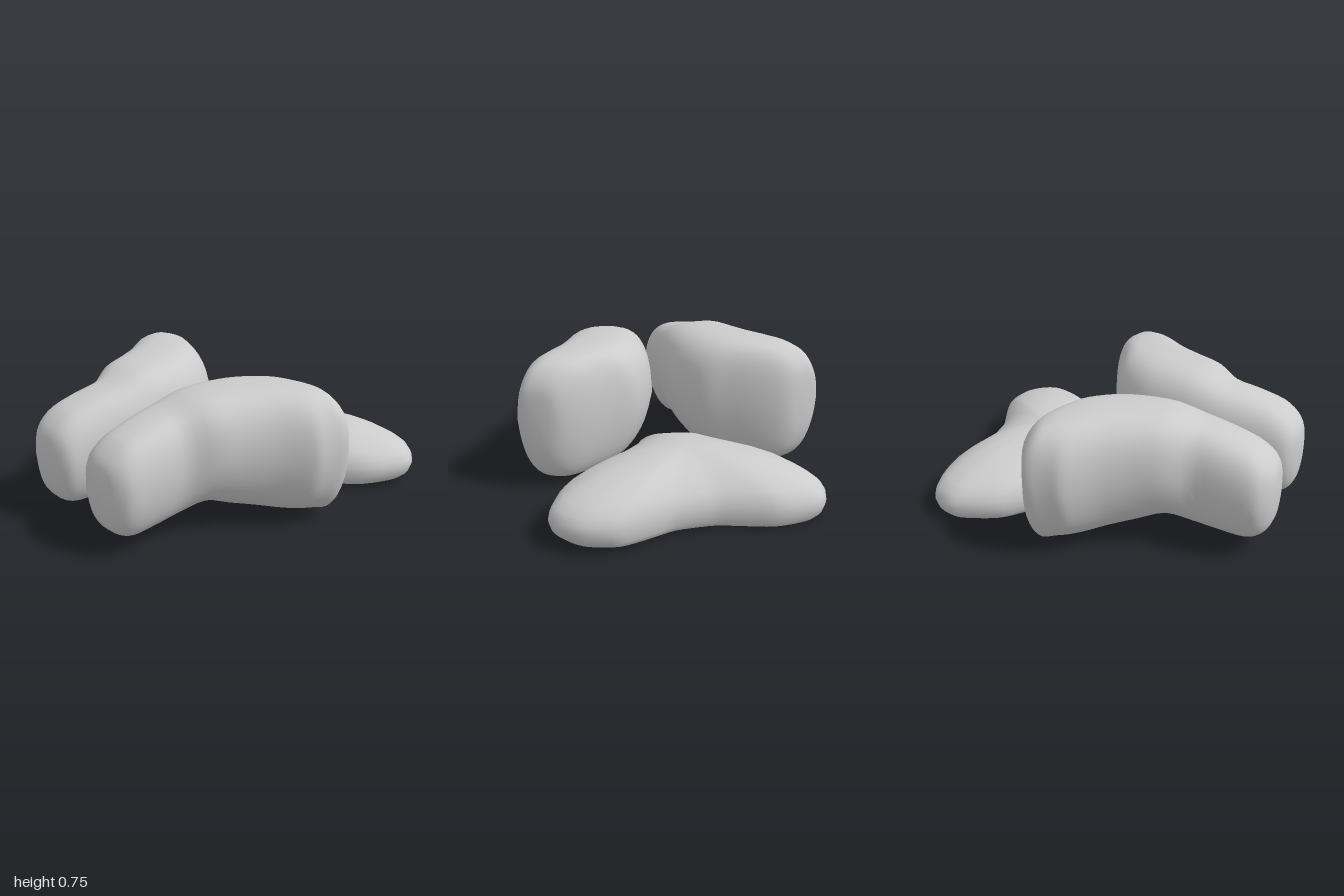
import * as THREE from 'three';
import { mergeVertices } from 'three/addons/utils/BufferGeometryUtils.js';

// Skins a list of closed rings (equal point counts); first and last rings shrink to poles.
function loft(rings) {
  const n = rings[0].length;
  const pos = rings.flat().flatMap((p) => [p.x, p.y, p.z]);
  const index = [];
  for (let i = 0; i < rings.length - 1; i++) {
    for (let j = 0; j < n; j++) {
      const k = (j + 1) % n;
      const a = i * n + j, b = i * n + k, c = a + n, d = b + n;
      index.push(a, b, d, a, d, c);
    }
  }
  // Turn the faces outward whichever way the rings run.
  const at = (i) => new THREE.Vector3().fromArray(pos, i * 3);
  let volume = 0;
  for (let i = 0; i < index.length; i += 3) {
    volume += at(index[i]).dot(at(index[i + 1]).cross(at(index[i + 2])));
  }
  if (volume < 0) index.reverse();
  let geo = new THREE.BufferGeometry();
  geo.setAttribute('position', new THREE.Float32BufferAttribute(pos, 3));
  geo.setIndex(index);
  geo = mergeVertices(geo, 1e-5);
  geo.computeVertexNormals();
  return geo;
}

const curve = (pts, closed = false) =>
  new THREE.CatmullRomCurve3(pts.map((p) => new THREE.Vector3(...p)), closed, 'catmullrom', 0.45);

// Sections of a bent lobe, front to back: inner x, z, outer x, z, bottom y, top y
const SECTIONS = [
  [0.25, 1.0, 0.25, 1.0, 0.35, 0.35],
  [0.14, 0.985, 0.36, 0.98, 0.19, 0.48],
  [0.07, 0.94, 0.43, 0.93, 0.115, 0.55],
  [0.05, 0.85, 0.45, 0.85, 0.08, 0.61],
  [0.035, 0.7, 0.455, 0.7, 0.09, 0.655],
  [0.02, 0.55, 0.46, 0.57, 0.105, 0.685],
  [0.025, 0.38, 0.54, 0.45, 0.155, 0.735],
  [0.035, 0.24, 0.61, 0.3, 0.11, 0.75],
  [0.06, 0.1, 0.69, 0.17, 0.075, 0.755],
  [0.11, -0.01, 0.77, 0.08, 0.055, 0.755],
  [0.19, -0.11, 0.82, 0.02, 0.05, 0.75],
  [0.32, -0.17, 0.832, -0.05, 0.05, 0.74],
  [0.47, -0.235, 0.842, -0.1, 0.06, 0.715],
  [0.58, -0.268, 0.85, -0.14, 0.13, 0.66],
  [0.66, -0.27, 0.84, -0.18, 0.25, 0.58],
  [0.75, -0.235, 0.75, -0.235, 0.42, 0.42],
];

function lobeGeometry(side) {
  const inner = curve(SECTIONS.map((s) => [s[0], s[4], s[1]]));
  const outer = curve(SECTIONS.map((s) => [s[2], s[5], s[3]]));
  const rings = [];
  const steps = 45, sides = 40;
  const soft = (v) => Math.sign(v) * Math.abs(v) ** 0.68;
  for (let i = 0; i <= steps; i++) {
    const a = inner.getPoint(i / steps), b = outer.getPoint(i / steps);
    const ring = [];
    for (let j = 0; j < sides; j++) {
      const t = (j / sides) * Math.PI * 2;
      const v = soft(Math.sin(t));
      // rounded-box section, narrower towards the underside
      const taper = 1 - 0.2 * Math.max(0, -v) - 0.06 * Math.max(0, v);
      const w = 0.5 + 0.5 * soft(Math.cos(t)) * taper;
      ring.push(new THREE.Vector3(
        side * THREE.MathUtils.lerp(a.x, b.x, w),
        THREE.MathUtils.lerp(a.y, b.y, 0.5 + 0.5 * v),
        THREE.MathUtils.lerp(a.z, b.z, w)));
    }
    rings.push(ring);
  }
  return loft(rings);
}

// Plan outline of the heart-shaped pad: x, z
const OUTLINE = [
  [0, -0.055], [0.17, -0.06], [0.22, -0.13], [0.38, -0.3], [0.52, -0.41], [0.68, -0.57],
  [0.76, -0.77], [0.73, -0.88], [0.65, -0.96], [0.56, -0.99], [0.46, -1], [0.36, -0.97],
  [0.24, -0.92], [0.14, -0.88], [0, -0.865], [-0.1, -0.865], [-0.25, -0.9], [-0.4, -0.93],
  [-0.55, -0.91], [-0.64, -0.87], [-0.69, -0.79], [-0.7, -0.7], [-0.62, -0.5],
  [-0.5, -0.38], [-0.28, -0.19], [-0.17, -0.09], [-0.07, -0.06],
];

// Rings of the pad from under its centre to the crown: scale, height
const PAD_PROFILE = [
  [0, 0.015], [0.5, 0.015], [0.88, 0.015], [0.94, 0.022], [0.98, 0.05], [1, 0.095],
  [0.99, 0.135], [0.955, 0.175], [0.89, 0.21], [0.78, 0.248], [0.64, 0.283],
  [0.48, 0.312], [0.3, 0.331], [0.14, 0.339], [0, 0.341],
];

function padGeometry() {
  const edge = curve(OUTLINE.map(([x, z]) => [x, 0, z]), true).getPoints(81).slice(0, -1);
  const cz = -0.5;
  return loft(PAD_PROFILE.map(([s, y]) => edge.map((p) => new THREE.Vector3(
    p.x * s,
    y + 0.021 * p.x * s, // slight sideways tilt
    cz + (p.z - cz) * s))));
}

export function createModel() {
  const model = new THREE.Group();
  const material = new THREE.MeshStandardMaterial({ color: 0xcccccc });
  const add = (name, geometry) => {
    const mesh = new THREE.Mesh(geometry, material);
    mesh.name = name;
    model.add(mesh);
  };
  add('leftLobe', lobeGeometry(1));
  add('rightLobe', lobeGeometry(-1));
  add('rearPad', padGeometry());
  return model;
}
